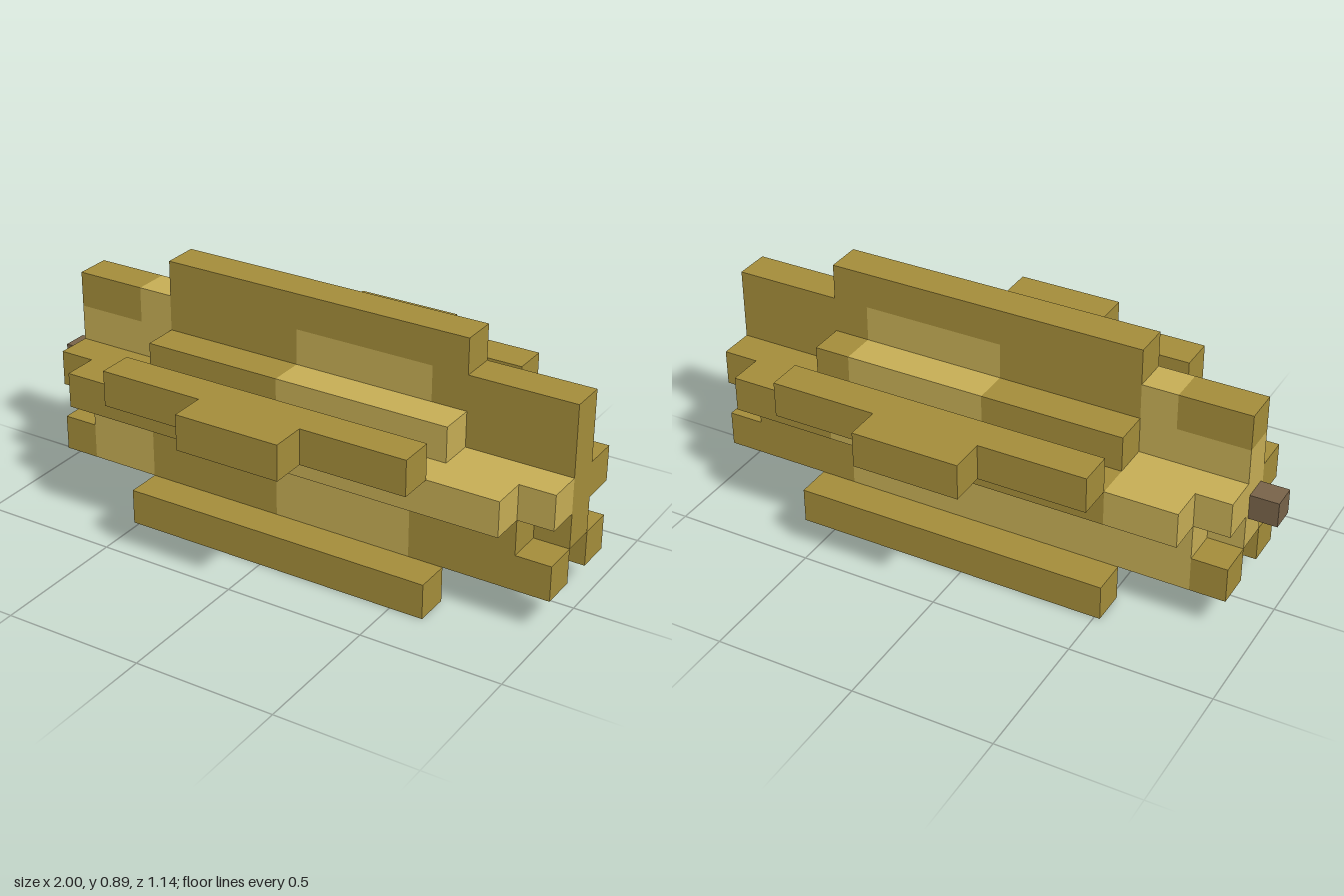
import * as THREE from 'three';

const U = 1.9 / 15;   // edge of one cube
const X0 = -0.9;      // rear end of the body

export function createModel() {
  const model = new THREE.Group();
  model.name = 'blockModel';
  const mat = (name, color) => {
    const m = new THREE.MeshStandardMaterial({ color });
    m.name = name;
    return m;
  };
  const dark = mat('dark gold', 0xa48d3a);
  const light = mat('light gold', 0xc6ae55);
  const brown = mat('stem brown', 0x786349);

  function box(parent, name, size, pos, material) {
    const mesh = new THREE.Mesh(new THREE.BoxGeometry(...size), material);
    mesh.position.set(...pos);
    mesh.name = name;
    parent.add(mesh);
  }

  // A bar one cube thick at layer y and column z.
  // Its x breaks alternate dark, light, dark... (equal breaks skip a colour).
  function bar(name, y, z, breaks) {
    const group = new THREE.Group();
    group.name = name;
    for (let i = 0; i + 1 < breaks.length; i++) {
      const [a, b] = [breaks[i], breaks[i + 1]];
      if (a === b) continue;
      box(group, i % 2 ? 'lightSection' : 'darkSection', [(b - a) * U, U, U],
        [X0 + (a + b) / 2 * U, (y + 0.5) * U, z * U], i % 2 ? light : dark);
    }
    model.add(group);
  }

  // Central upright plate, from keel to crest
  bar('keel', 1, 0, [1, 1, 3, 7, 11, 14]);
  bar('coreLower', 2, 0, [0, 0, 3, 15]);
  bar('coreMiddle', 3, 0, [0, 0, 3, 15]);
  bar('coreUpper', 4, 0, [0, 0, 3, 15]);
  bar('ridge', 5, 0, [0, 2, 3, 7, 11, 15]);
  bar('crest', 6, 0, [3, 12]);

  // Front flank
  bar('frontFlankBottom', 1, 1, [0, 1, 3, 7, 11, 15]);
  bar('frontFlankLower', 2, 1, [1, 1, 3, 7, 11, 14]);
  bar('frontFlankMiddle', 3, 1, [0, 7, 15]);
  bar('frontShoulder', 4, 1, [3, 7, 12]);
  bar('frontShelf', 3, 2, [1, 7, 14]);

  // Back flank
  bar('backFlankBottom', 1, -1, [0, 1, 11, 15]);
  bar('backFlankLower', 2, -1, [1, 1, 11, 14]);
  bar('backFlankMiddle', 3, -1, [0, 0, 3, 7, 11, 15]);
  bar('backShoulder', 4, -1, [3, 7, 11, 12]);
  bar('backShelf', 3, -2, [1, 1, 3, 7, 11, 14]);

  // Mirrored feet and outer wings
  for (const [side, s] of [['front', 1], ['back', -1]]) {
    bar(side + 'Foot', 0, 2 * s, [3, 12]);
    bar(side + 'Wing', 4, 3 * s, [3, 12]);
    bar(side + 'WingTip', 4, 4 * s, [6, 9]);
  }

  // Small stem at the end
  box(model, 'stem', [0.1, 0.09, 0.09], [-0.95, 0.407, 0], brown);
  return model;
}
